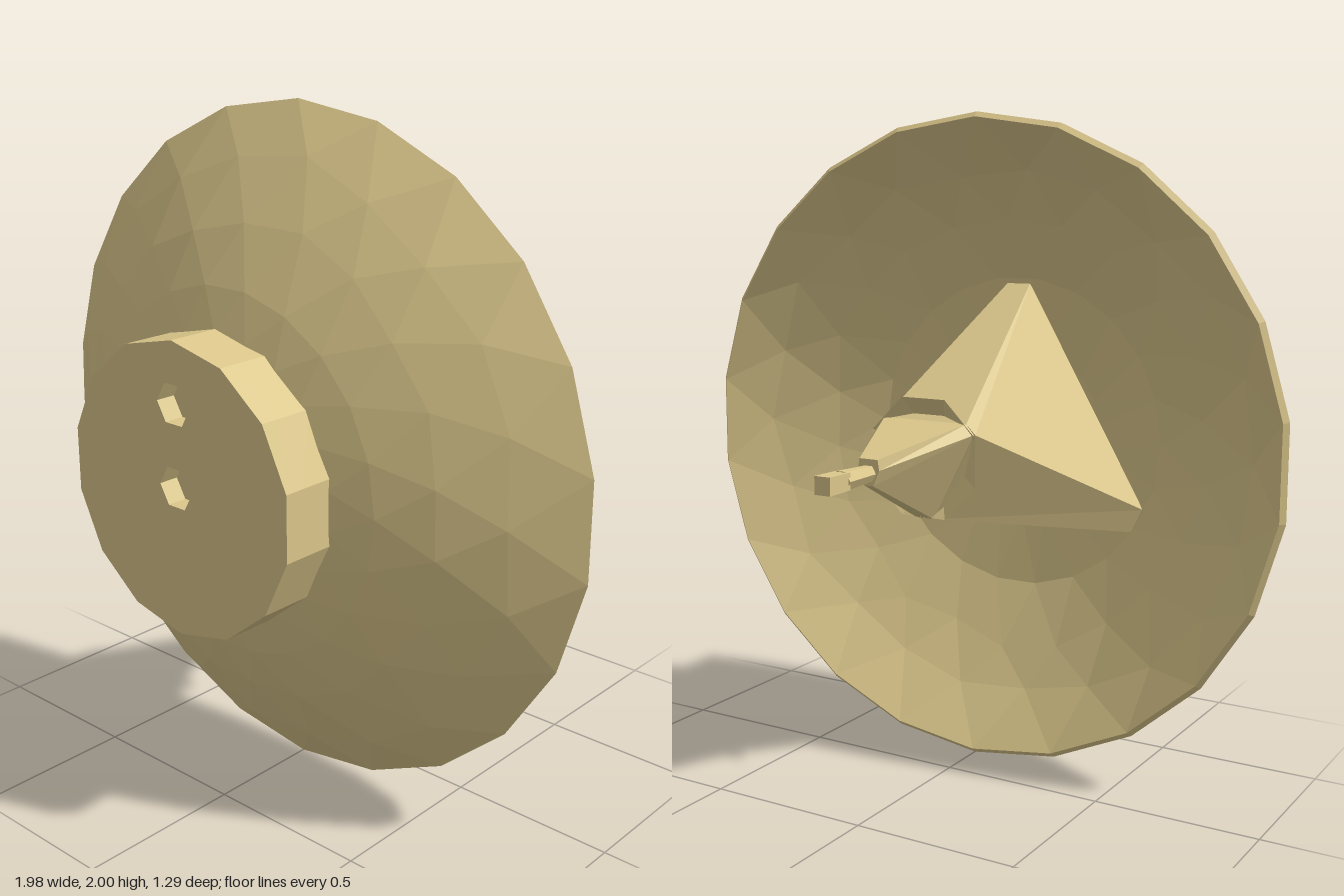
import * as THREE from 'three';

const tan = new THREE.MeshStandardMaterial({ color: 0xdcc88c });
const tanOpen = new THREE.MeshStandardMaterial({ color: 0xdcc88c, side: THREE.DoubleSide });
tan.name = 'sandMetal';
tanOpen.name = 'sandMetalOpen';
tan.flatShading = tanOpen.flatShading = true;

// Skin equal-length closed sections (counter-clockwise seen from +z, listed towards +z)
function loft(sections, capStart = false, capEnd = false) {
  const pos = [];
  const tri = (...pts) => pts.forEach((p) => pos.push(...p));
  const n = sections[0].length;
  for (let i = 0; i < sections.length - 1; i++) {
    const s = sections[i], t = sections[i + 1];
    for (let j = 0; j < n; j++) {
      const k = (j + 1) % n;
      tri(s[j], s[k], t[j]);
      tri(s[k], t[k], t[j]);
    }
  }
  const first = sections[0], last = sections[sections.length - 1];
  for (let j = 1; j < n - 1; j++) {
    if (capStart) tri(first[0], first[j + 1], first[j]);
    if (capEnd) tri(last[0], last[j], last[j + 1]);
  }
  const g = new THREE.BufferGeometry();
  g.setAttribute('position', new THREE.Float32BufferAttribute(pos, 3));
  g.computeVertexNormals();
  return g;
}

// Regular ring around the z axis
function ring(r, z, n, turn = 0, cy = 1) {
  return Array.from({ length: n }, (_, j) => {
    const a = ((j + turn) / n) * Math.PI * 2;
    return [r * Math.cos(a), cy + r * Math.sin(a), z];
  });
}

// Six-sided section with a mirrored top, shoulder and bottom point
function hex(z, shoulder, top, bottom) {
  const [[sx, sy], [tx, ty], [bx, by]] = [shoulder, top, bottom];
  return [[sx, sy, z], [tx, ty, z], [-tx, ty, z], [-sx, sy, z], [-bx, by, z], [bx, by, z]];
}

function circleShape(r, n, turn, cx = 0, cy = 0) {
  return ring(r, 0, n, turn, cy).map(([x, y]) => new THREE.Vector2(x + cx, y));
}

export function createModel() {
  const group = new THREE.Group();
  const add = (name, geometry, material = tan) => {
    const mesh = new THREE.Mesh(geometry, material);
    mesh.name = name;
    group.add(mesh);
    return mesh;
  };

  // Reflector shell: inner bowl out to the rim, then back along the outer face
  let seed = 7;
  const rand = () => ((seed = (seed * 16807) % 2147483647) / 2147483647) - 0.5;
  const sides = 22;
  const profile = [ // radius, z, twist in steps
    [0.001, 0.47, 0], [0.28, 0.46, 0.5], [0.5, 0.42, 1], [0.68, 0.34, 1.5], [0.84, 0.25, 2],
    [0.985, 0.14, 2.5], [1.0, 0.155, 2.5],
    [0.85, 0.27, 3], [0.69, 0.37, 3.5], [0.53, 0.448, 4], [0.41, 0.49, 4.5],
  ];
  const shell = profile.map(([r, z, turn], i) => {
    const loose = [3, 4, 7, 8].includes(i) ? 1 : 0;
    return ring(r, z, sides, turn).map(([x, y, zz]) => {
      const d = loose * rand() * 0.07; // slide along the bowl for uneven facets
      return [x * (1 + d), 1 + (y - 1) * (1 + d), zz - d * r * (0.45 + 0.3 * r)];
    });
  });
  add('reflectorDish', loft(shell));

  // Mounting drum with two shallow six-sided sockets in its face
  const face = new THREE.Shape(circleShape(0.42, 14, 0.5, 0, 1));
  for (const y of [1.245, 1.01]) {
    face.holes.push(new THREE.Path(circleShape(0.063, 6, 0, 0, y)));
  }
  add('drumFace', new THREE.ExtrudeGeometry(face, { depth: 0.06, bevelEnabled: false }))
    .position.z = 0.585;
  const core = new THREE.Shape(circleShape(0.42, 14, 0.5, 0, 1));
  add('drumCore', new THREE.ExtrudeGeometry(core, { depth: 0.11, bevelEnabled: false }))
    .position.z = 0.475;

  // Three-legged feed support, narrowing from the bowl to the hub
  add('feedSupport', loft([
    hex(-0.14, [0.17, 1.08], [0.14, 1.11], [0.03, 0.82]),
    hex(0.425, [0.445, 0.79], [0.04, 1.48], [0.41, 0.715]),
    hex(0.47, [0.4, 0.81], [0.036, 1.44], [0.37, 0.745]),
  ], true, true));

  // Tapered feed cone behind the hub
  add('feedCone', loft([
    hex(-0.43, [0.035, 1.01], [0.03, 1.04], [0.015, 0.965]),
    hex(-0.14, [0.165, 1.08], [0.14, 1.11], [0.03, 0.82]),
  ], true, true));

  // Small open bowl around the hub
  add('hubBowl', loft([ring(0.19, -0.15, 8, 0.5), ring(0.12, -0.11, 8, 0.5)]), tanOpen);

  // Feed rod and its blunt tip
  add('feedRod', loft([ring(0.03, -0.56, 6), ring(0.024, -0.42, 6)], true, true));
  add('feedTip', loft([ring(0.036, -0.645, 4, 0.5), ring(0.034, -0.55, 4, 0.5)], true, true));

  return group;
}
